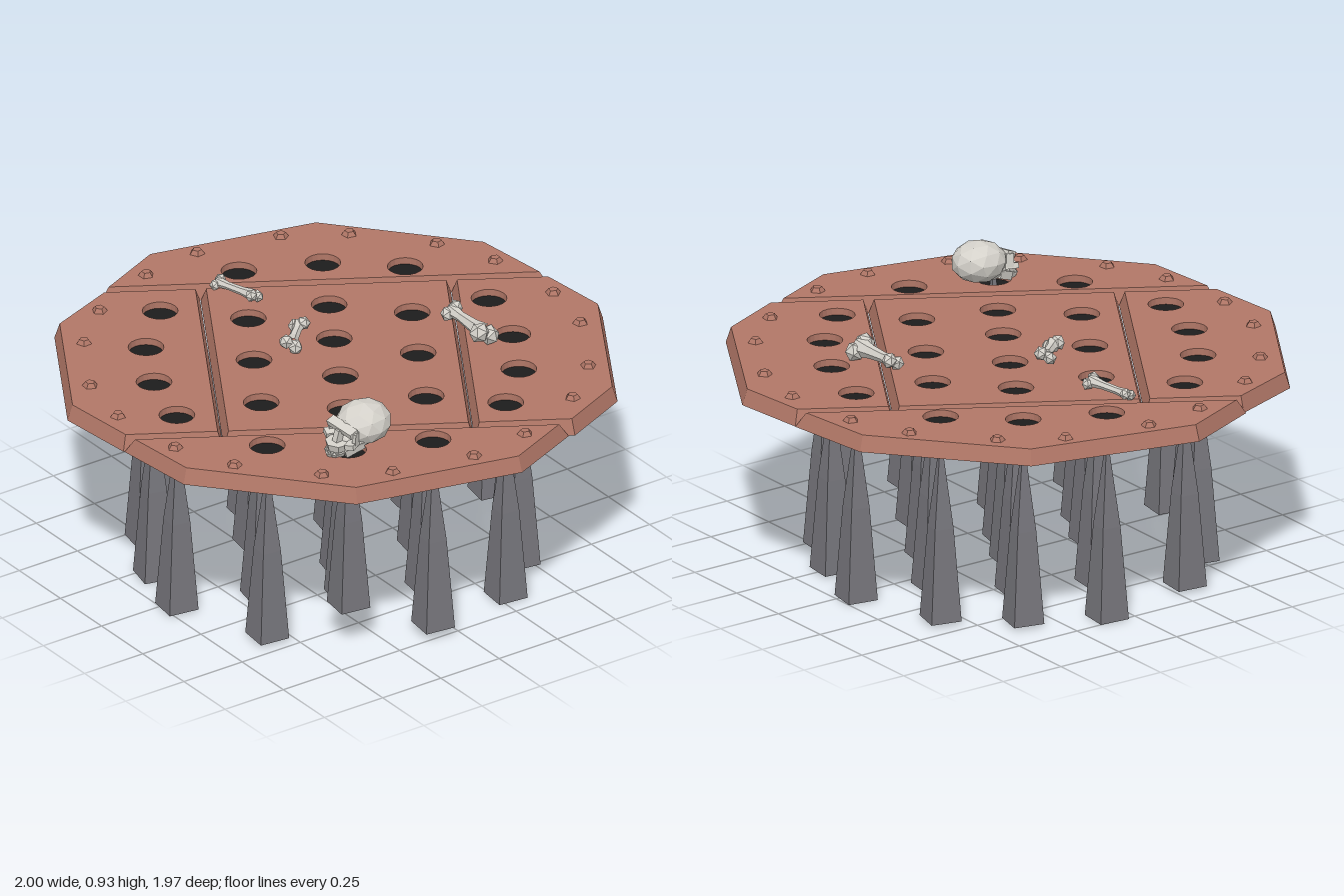
import * as THREE from 'three';
import { mergeGeometries } from 'three/addons/utils/BufferGeometryUtils.js';

const mat = (name, color) => {
  const m = new THREE.MeshStandardMaterial({ color, flatShading: true });
  m.name = name;
  return m;
};

// Hole centres (x, z); a spike stands below each one
const HOLES = [
  [-0.03, -0.685], [0.235, -0.6], [-0.39, -0.58], [0.455, -0.47], [-0.1, -0.405], [-0.58, -0.36],
  [0.63, -0.29], [0.155, -0.25], [-0.315, -0.2], [-0.7, -0.085], [-0.1, -0.07], [0.43, -0.09],
  [-0.395, 0.09], [0.135, 0.07], [0.705, 0.075], [-0.135, 0.25], [0.34, 0.195], [-0.62, 0.31],
  [0.135, 0.41], [-0.43, 0.505], [0.405, 0.575], [-0.205, 0.63], [0.04, 0.705], [0.595, 0.36],
];
const RIVETS = [
  [-0.24, -0.86], [0.07, -0.89], [0.305, -0.84], [-0.46, -0.765], [0.58, -0.68], [-0.695, -0.555], [0.74, -0.5],
  [-0.82, -0.35], [0.86, -0.21], [-0.89, -0.04], [0.89, 0.03], [-0.86, 0.2], [0.82, 0.33], [-0.74, 0.485],
  [0.695, 0.545], [-0.58, 0.665], [0.46, 0.755], [-0.31, 0.83], [-0.07, 0.88], [0.235, 0.85],
];
const HOLE_R = 0.063, PLATE_Y = 0.71, PLATE_H = 0.058;

// Panel seams run in a frame turned about 31 degrees
const C = 0.857, S = 0.515;
const uv = (u, v) => [C * u - S * v, S * u + C * v];
const LEFT = -0.539, RIGHT = 0.548, BACK = -0.451, FRONT = 0.431, GAP = 0.001;

// Panel outlines, all wound the same way round
const PANELS = {
  leftPanel: [uv(LEFT - GAP, 0.787), [-0.998, 0.1], [-0.85, -0.52], [-0.385, -0.925], uv(LEFT - GAP, -0.8)],
  rightPanel: [uv(RIGHT + GAP, -0.783), [0.998, -0.1], [0.855, 0.51], [0.385, 0.92], uv(RIGHT + GAP, 0.779)],
  backPanel: [uv(LEFT + GAP, BACK - GAP), uv(LEFT + GAP, -0.8), [0.23, -0.99], [0.765, -0.675],
    uv(RIGHT - GAP, -0.805), uv(RIGHT - GAP, BACK - GAP)],
  middlePanel: [uv(LEFT + GAP, BACK + GAP), uv(RIGHT - GAP, BACK + GAP),
    uv(RIGHT - GAP, FRONT - GAP), uv(LEFT + GAP, FRONT - GAP)],
  frontPanel: [uv(RIGHT - GAP, FRONT + GAP), uv(RIGHT - GAP, 0.783), [-0.235, 0.98], [-0.76, 0.665],
    uv(LEFT + GAP, 0.779), uv(LEFT + GAP, FRONT + GAP)],
};
function panelOf([x, z]) {
  const u = C * x + S * z, v = C * z - S * x;
  if (u < LEFT) return 'leftPanel';
  if (u > RIGHT) return 'rightPanel';
  if (v < BACK) return 'backPanel';
  return v > FRONT ? 'frontPanel' : 'middlePanel';
}

// Move every side of a convex outline inwards
function inset(poly, d) {
  const n = poly.length;
  const normal = ([ax, az], [bx, bz]) => {
    const l = Math.hypot(bx - ax, bz - az);
    return [(az - bz) / l, (bx - ax) / l];
  };
  return poly.map((p, i) => {
    const a = normal(poly[(i + n - 1) % n], p), b = normal(p, poly[(i + 1) % n]);
    const k = d / (1 + a[0] * b[0] + a[1] * b[1]);
    return [p[0] + (a[0] + b[0]) * k, p[1] + (a[1] + b[1]) * k];
  });
}

// Part of a convex outline that is nearer to hole h than to hole o
function nearerTo(poly, h, o) {
  const dx = o[0] - h[0], dz = o[1] - h[1];
  const side = p => (p[0] - (h[0] + o[0]) / 2) * dx + (p[1] - (h[1] + o[1]) / 2) * dz;
  return poly.flatMap((p, i) => {
    const q = poly[(i + 1) % poly.length], a = side(p), b = side(q), t = a / (a - b);
    const out = a <= 0 ? [p] : [];
    if (a * b < 0) out.push([p[0] + (q[0] - p[0]) * t, p[1] + (q[1] - p[1]) * t]);
    return out;
  });
}

// Flat pierced face, one cell round each hole; dir 1 faces up, -1 faces down
function face(poly, holes, y, dir) {
  return holes.map(h => {
    const cell = holes.reduce((c, o) => (o === h ? c : nearerTo(c, h, o)), poly);
    const shape = new THREE.Shape(cell.map(([x, z]) => new THREE.Vector2(x, -dir * z)));
    const ring = [];
    for (let i = 0; i < 20; i++) {
      const a = i / 20 * Math.PI * 2;
      ring.push(new THREE.Vector2(h[0] + HOLE_R * Math.sin(a), -dir * (h[1] + HOLE_R * Math.cos(a))));
    }
    shape.holes.push(new THREE.Path(ring));
    return new THREE.ShapeGeometry(shape).rotateX(-dir * Math.PI / 2).translate(0, y, 0);
  });
}

// Panel with sloping sides and straight-walled holes
function panelGeometry(bottom, holes) {
  const top = inset(bottom, 0.018);
  const walls = [];
  bottom.forEach(([ax, az], i) => {
    const j = (i + 1) % bottom.length, [bx, bz] = bottom[j], [cx, cz] = top[j], [dx, dz] = top[i];
    const a = [ax, 0, az], b = [bx, 0, bz], c = [cx, PLATE_H, cz], d = [dx, PLATE_H, dz];
    walls.push(...a, ...c, ...b, ...a, ...d, ...c);
  });
  const sides = new THREE.BufferGeometry();
  sides.setAttribute('position', new THREE.Float32BufferAttribute(walls, 3));
  const bores = holes.map(([x, z]) =>
    new THREE.CylinderGeometry(HOLE_R, HOLE_R, PLATE_H, 20, 1, true)
      .scale(-1, 1, 1).translate(x, PLATE_H / 2, z));
  const parts = [...face(top, holes, PLATE_H, 1), ...face(bottom, holes, 0, -1), ...bores]
    .map(g => g.toNonIndexed().deleteAttribute('uv').deleteAttribute('normal'));
  const g = mergeGeometries([sides, ...parts]);
  g.computeVertexNormals();
  return g;
}

export function createModel() {
  const rust = mat('rustyPlate', 0xb17767);
  const steel = mat('darkSteel', 0x77767c);
  const black = mat('holeBlack', 0x1c1c1c);
  const boneMat = mat('bone', 0xd4d1ca);
  const root = new THREE.Group();
  root.name = 'spikeTrap';

  const add = (parent, name, geo, material, pos = [0, 0, 0], rot = [0, 0, 0], scale = [1, 1, 1]) => {
    const m = new THREE.Mesh(geo, material);
    m.name = name;
    m.position.set(...pos);
    m.rotation.set(...rot);
    m.scale.set(...scale);
    parent.add(m);
  };
  const group = (name) => {
    const g = new THREE.Group();
    g.name = name;
    root.add(g);
    return g;
  };

  // Cover plate with dark plugs in its holes and five-sided rivets round the rim
  const cover = group('cover');
  for (const [name, outline] of Object.entries(PANELS)) {
    add(cover, name, panelGeometry(outline, HOLES.filter(h => panelOf(h) === name)), rust, [0, PLATE_Y, 0]);
  }
  const plug = new THREE.CylinderGeometry(HOLE_R, HOLE_R, 0.006, 20);
  HOLES.forEach(([x, z]) => add(cover, 'holeShadow', plug, black, [x, PLATE_Y + 0.03, z]));
  const rivet = new THREE.CylinderGeometry(0.017, 0.031, 0.02, 5);
  RIVETS.forEach(([x, z], i) =>
    add(cover, 'rivet', rivet, rust, [x, PLATE_Y + PLATE_H + 0.006, z], [0, i * 0.4, 0]));

  // Square spikes with a slight kink at mid height
  const spikes = group('spikes');
  const spikeH = 0.69;
  const spikeGeo = new THREE.CylinderGeometry(0, 0.08, spikeH, 4, 2);
  const sp = spikeGeo.attributes.position;
  for (let i = 0; i < sp.count; i++) {
    if (Math.abs(sp.getY(i)) < 0.01) sp.setXYZ(i, sp.getX(i) * 1.24, 0, sp.getZ(i) * 1.24);
  }
  const lift = { 10: 0.03, 14: 0.03, 15: 0.04, 16: 0.03, 23: 0.15 };
  HOLES.forEach(([x, z], i) => {
    const base = lift[i] ?? (i % 3) * 0.005;
    add(spikes, 'spike', spikeGeo, steel, [x, base + spikeH / 2, z],
      [0, Math.PI / 4 - 0.17 + Math.sin(i * 2.3) * 0.07, 0]);
  });

  // Loose bones: waisted shaft with two knuckles at each end
  const knob = new THREE.IcosahedronGeometry(1, 0);
  function bone(from, to, r0, r1, spread) {
    const a = new THREE.Vector3(...from), b = new THREE.Vector3(...to);
    const g = group('bone'), len = a.distanceTo(b);
    g.position.copy(a).lerp(b, 0.5);
    g.quaternion.setFromUnitVectors(new THREE.Vector3(1, 0, 0), b.clone().sub(a).normalize());
    const shaft = new THREE.LatheGeometry(
      [[r0 * 0.95, -0.5], [r0 * 0.7, -0.22], [r1 * 0.7, 0.18], [r1 * 1.05, 0.5]]
        .map(([r, t]) => new THREE.Vector2(r, t * len)), 6);
    add(g, 'boneShaft', shaft, boneMat, [0, 0, 0], [0, 0, -Math.PI / 2]);
    for (const [end, r] of [[-1, r0], [1, r1]]) {
      for (const side of [-1, 1]) {
        add(g, 'boneKnuckle', knob, boneMat, [end * len / 2, end * side * r * 0.3, side * r * spread],
          [side, end, 0], [r * 1.1, r, r]);
      }
    }
  }
  bone([0.04, 0.816, -0.475], [0.238, 0.81, -0.475], 0.027, 0.036, 0.6);
  bone([-0.645, 0.789, 0.045], [-0.475, 0.797, 0.008], 0.02, 0.022, 0.7);
  bone([-0.2, 0.805, 0.01], [-0.11, 0.797, 0.11], 0.025, 0.027, 0.6);

  // Skull facing forward, slightly turned and leaning
  const skull = group('skull');
  skull.position.set(0.585, 0.85, 0.3);
  skull.rotation.set(0.05, 0.12, -0.1);
  const ball = new THREE.IcosahedronGeometry(1, 1);
  const box = new THREE.BoxGeometry(1, 1, 1);
  const part = (name, geo, pos, scale, rot) => add(skull, name, geo, boneMat, pos, rot, scale);
  part('cranium', ball, [0, 0.003, -0.012], [0.096, 0.077, 0.102]);
  part('skullBase', ball, [0, -0.033, 0.025], [0.068, 0.04, 0.078]);
  part('browRidge', box, [0, 0.02, 0.088], [0.125, 0.022, 0.035], [0.3, 0, 0]);
  part('noseBridge', box, [0, -0.006, 0.107], [0.022, 0.044, 0.028], [-0.25, 0, 0]);
  part('upperJaw', new THREE.CylinderGeometry(0.045, 0.038, 0.03, 7), [0, -0.041, 0.106], [1, 1, 1.1]);
  part('lowerJaw', new THREE.CylinderGeometry(0.039, 0.031, 0.018, 7), [0, -0.069, 0.114], [1, 1, 1.25]);
  for (const s of [-1, 1]) {
    part('cheekbone', box, [s * 0.053, -0.025, 0.09], [0.034, 0.02, 0.05], [0, s * 0.4, s * 0.2]);
    part('eyeSocketSide', box, [s * 0.06, -0.002, 0.08], [0.014, 0.05, 0.028], [0, s * 0.4, 0]);
    part('jawBranch', box, [s * 0.046, -0.056, 0.07], [0.013, 0.03, 0.075], [0.3, -s * 0.25, 0]);
  }
  for (let i = -2; i <= 2; i++) {
    part('tooth', box, [i * 0.013, -0.06, 0.15 - i * i * 0.004], [0.009, 0.014, 0.009]);
  }

  return root;
}
